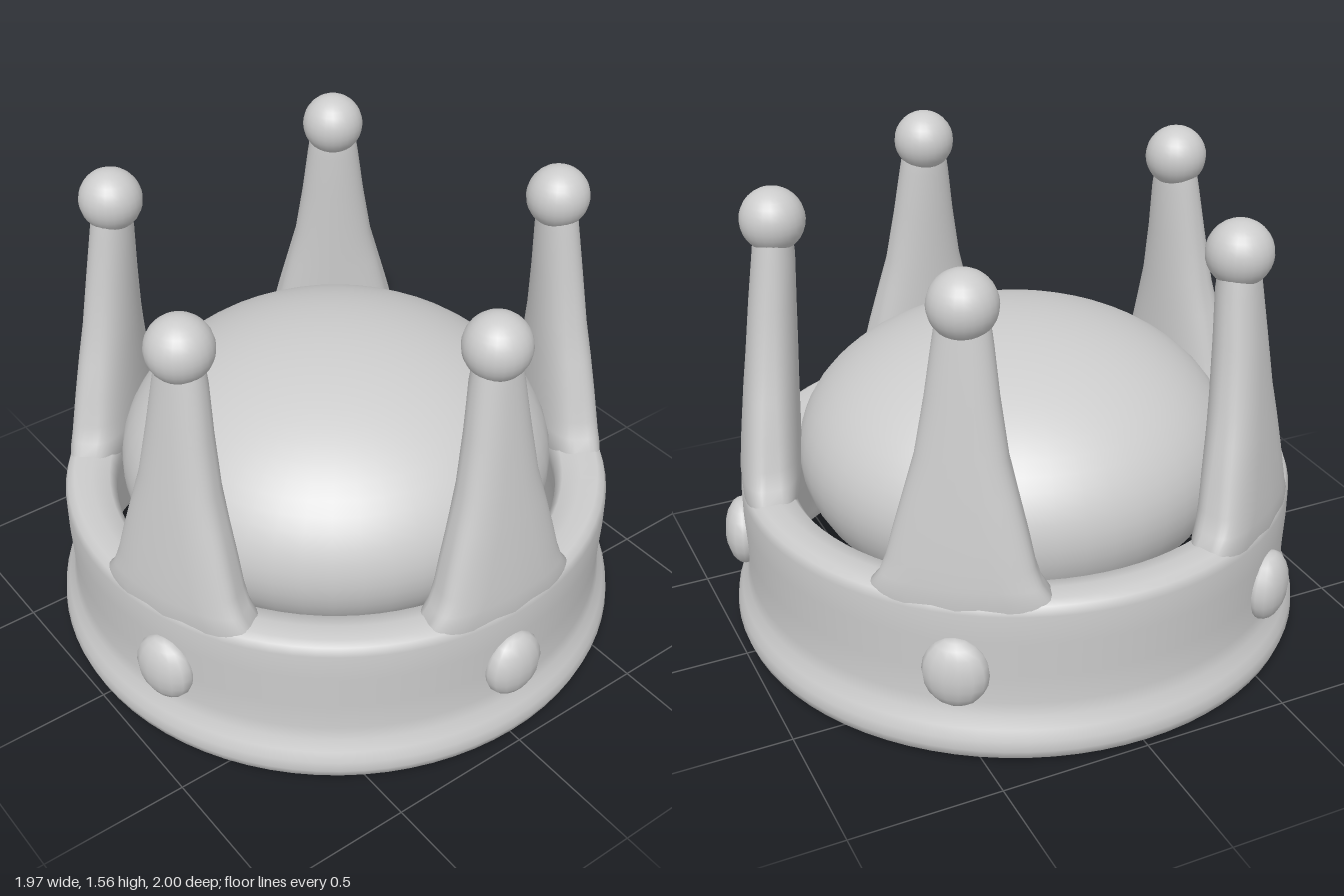
import * as THREE from 'three';

const SPIKES = 5;

// Lofted spike on the +z side: each row is [y, inner radius, outer radius, half width, roundness],
// with a section bent around the crown's axis. Low roundness flattens the outer face
// so that it runs flush into the band.
function spikeGeometry(rows, sides = 40) {
  const positions = [], index = [];
  for (const [y, inner, outer, width, round] of rows) {
    const mid = (inner + outer) / 2, depth = (outer - inner) / 2;
    for (let i = 0; i < sides; i++) {
      const t = (i / sides) * Math.PI * 2;
      const s = Math.sin(t), c = Math.cos(t);
      const power = s > 0 ? round : 1;
      const r = mid + depth * Math.sign(s) * Math.abs(s) ** power;
      const a = (width * Math.sign(c) * Math.abs(c) ** power) / mid;
      positions.push(r * Math.sin(a), y, r * Math.cos(a));
    }
  }
  for (let j = 0; j < rows.length - 1; j++) {
    for (let i = 0; i < sides; i++) {
      const a = j * sides + i, b = j * sides + ((i + 1) % sides);
      index.push(a, a + sides, b, b, a + sides, b + sides);
    }
  }
  const g = new THREE.BufferGeometry();
  g.setAttribute('position', new THREE.Float32BufferAttribute(positions, 3));
  g.setIndex(index);
  g.computeVertexNormals();
  return g;
}

export function createModel() {
  const model = new THREE.Group();
  model.name = 'crown';
  const grey = new THREE.MeshStandardMaterial({ color: 0xcccccc });
  grey.name = 'light grey';

  const add = (parent, name, geometry, x = 0, y = 0, z = 0) => {
    const mesh = new THREE.Mesh(geometry, grey);
    mesh.name = name;
    mesh.position.set(x, y, z);
    parent.add(mesh);
    return mesh;
  };

  const body = new THREE.Group();
  body.name = 'crownBody';
  body.position.z = -0.013;
  model.add(body);

  // Band with a rounded, flared foot and a rounded top edge
  const profile = [
    [0.90, 0.012], [0.93, 0.002], [0.955, 0.004], [0.977, 0.02], [0.987, 0.05],
    [0.983, 0.085], [0.968, 0.118], [0.948, 0.155], [0.938, 0.2], [0.938, 0.3],
    [0.943, 0.42], [0.943, 0.52], [0.933, 0.55], [0.91, 0.563], [0.85, 0.563],
    [0.79, 0.548], [0.768, 0.515], [0.775, 0.45], [0.808, 0.3], [0.85, 0.15],
    [0.868, 0.075], [0.88, 0.035], [0.90, 0.012],
  ].map(([r, y]) => new THREE.Vector2(r, y));
  add(body, 'band', new THREE.LatheGeometry(profile, 80));

  // Cushion dome inside the band
  const dome = new THREE.SphereGeometry(1, 48, 32);
  dome.scale(0.74, 0.457, 0.74);
  add(body, 'cushion', dome, 0, 0.613, 0);

  // Spikes with a ball on top and a gem below
  const spike = spikeGeometry([
    [0.25, 0.84, 0.90, 0.12, 0.5], [0.40, 0.775, 0.92, 0.24, 0.4], [0.50, 0.75, 0.938, 0.275, 0.35],
    [0.56, 0.738, 0.942, 0.268, 0.35], [0.60, 0.733, 0.939, 0.24, 0.4], [0.66, 0.73, 0.934, 0.22, 0.45],
    [0.75, 0.727, 0.924, 0.2, 0.5], [0.88, 0.724, 0.909, 0.168, 0.6], [1.0, 0.72, 0.893, 0.138, 0.7],
    [1.18, 0.715, 0.871, 0.11, 0.8], [1.34, 0.71, 0.849, 0.09, 0.9], [1.41, 0.715, 0.84, 0.08, 1],
  ]);
  const ball = new THREE.SphereGeometry(0.106, 24, 16);
  const gem = new THREE.SphereGeometry(1, 14, 10);
  gem.scale(0.107, 0.121, 0.065);
  for (let k = 0; k < SPIKES; k++) {
    const point = new THREE.Group();
    point.name = 'crownPoint' + (k + 1);
    point.rotation.y = (k / SPIKES) * Math.PI * 2;
    body.add(point);
    add(point, 'spike', spike);
    add(point, 'ball', ball, 0, 1.455, 0.775);
    add(point, 'gem', gem, 0, 0.315, 0.948);
  }
  return model;
}
